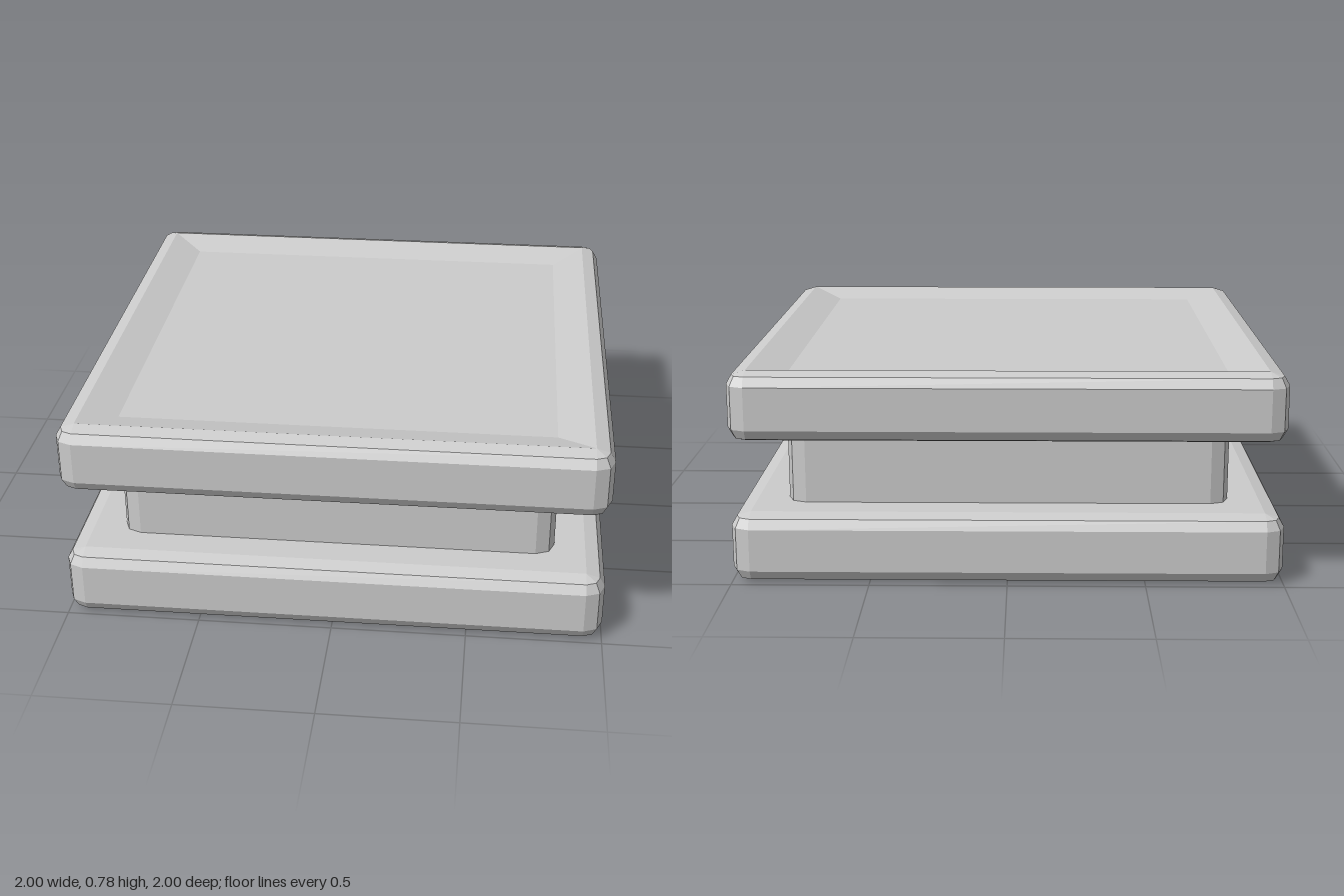
import * as THREE from 'three';

const BEVEL = 0.07;

// Square outline with two-facet corners: 12 points at half-width h, height y
function ring(h, y, radius) {
  const points = [];
  for (let corner = 0; corner < 4; corner++) {
    for (let step = 0; step < 3; step++) {
      const a = (corner + step / 2) * Math.PI / 2;
      const mid = (corner + 0.5) * Math.PI / 2;
      const c = (h - radius) * Math.SQRT2;
      points.push([
        c * Math.cos(mid) + radius * Math.cos(a), y,
        c * Math.sin(mid) + radius * Math.sin(a),
      ]);
    }
  }
  return points;
}

// Skin a profile of [half-width, height] pairs, listed bottom to top
function loft(name, profile, widest, material) {
  const rings = profile.map(([h, y]) => ring(h, y, Math.max(0, BEVEL - (widest - h))));
  const n = rings[0].length;
  const index = [];
  for (let r = 0; r < rings.length - 1; r++) {
    for (let i = 0; i < n; i++) {
      const a = r * n + i, b = r * n + (i + 1) % n;
      index.push(a, a + n, b, b, a + n, b + n);
    }
  }
  const indexed = new THREE.BufferGeometry();
  indexed.setAttribute('position', new THREE.Float32BufferAttribute(rings.flat(2), 3));
  indexed.setIndex(index);
  const geometry = indexed.toNonIndexed();
  geometry.computeVertexNormals();
  const mesh = new THREE.Mesh(geometry, material);
  mesh.name = name;
  return mesh;
}

// Bevelled slab; a dish depth sinks the middle of its top
function slab(name, y0, y1, dish, material) {
  return loft(name, [
    [0, y0], [0.93, y0], [0.98, y0 + 0.015], [1, y0 + 0.05],
    [1, y1 - 0.05], [0.98, y1 - 0.015], [0.93, y1], [0.8, y1 - dish], [0, y1 - dish],
  ], 1, material);
}

export function createModel() {
  const group = new THREE.Group();
  group.name = 'squareSpool';
  const material = new THREE.MeshStandardMaterial({ color: 0xcccccc, flatShading: true });

  group.add(slab('lowerSlab', 0, 0.257, 0, material));
  group.add(loft('core', [[0.815, 0.25], [0.815, 0.53]], 0.815, material));
  group.add(slab('upperSlab', 0.523, 0.78, 0.035, material));
  return group;
}
